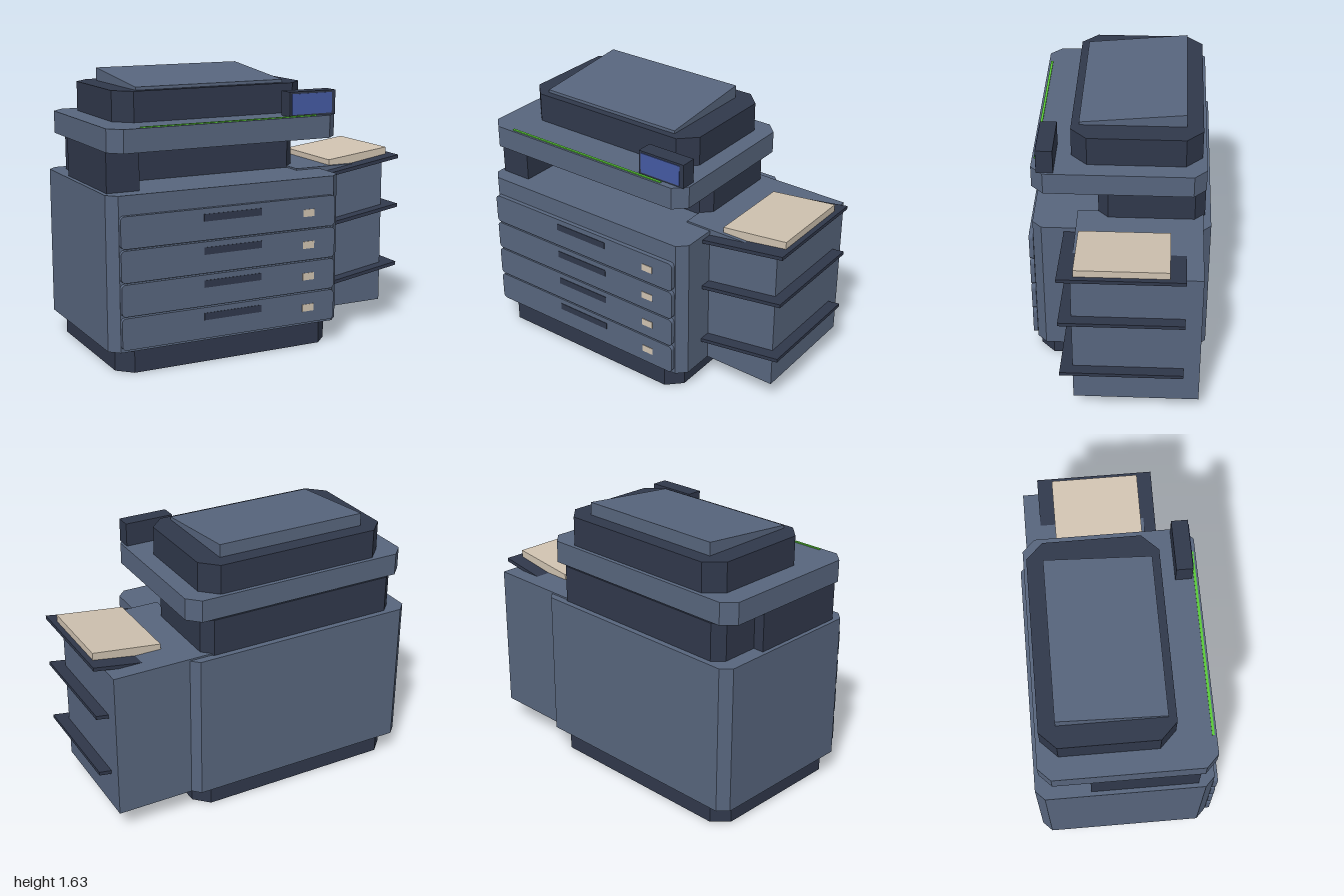
import * as THREE from 'three';

const mat = (name, color) => {
  const m = new THREE.MeshStandardMaterial({ color });
  m.name = name;
  return m;
};

export function createModel() {
  const slate = mat('slate casing', 0x57657d);
  const dark = mat('dark trim', 0x30384b);
  const paper = mat('paper', 0xcfc2b0);
  const blue = mat('screen blue', 0x4459a2);
  const green = mat('scan light green', 0x5acb38);

  const model = new THREE.Group();
  model.name = 'officeCopier';

  const add = (name, geometry, material, parent = model) => {
    const mesh = new THREE.Mesh(geometry, material);
    mesh.name = name;
    parent.add(mesh);
    return mesh;
  };

  // Plain box given by its limits on each axis
  const box = (x0, x1, y0, y1, z0, z1) =>
    new THREE.BoxGeometry(x1 - x0, y1 - y0, z1 - z0)
      .translate((x0 + x1) / 2, (y0 + y1) / 2, (z0 + z1) / 2);

  // Polygon pulled along z
  const prism = (points, z0, z1) =>
    new THREE.ExtrudeGeometry(new THREE.Shape(points.map(([x, y]) => new THREE.Vector2(x, y))),
      { depth: z1 - z0, bevelEnabled: false }).translate(0, 0, z0);

  // Rectangle with cut corners
  const cutRect = (x0, x1, y0, y1, c) => [
    [x0 + c, y0], [x1 - c, y0], [x1, y0 + c], [x1, y1 - c],
    [x1 - c, y1], [x0 + c, y1], [x0, y1 - c], [x0, y0 + c],
  ];

  // Upright block whose four vertical edges are chamfered
  const block = (x0, x1, y0, y1, z0, z1, c) =>
    prism(cutRect(x0, x1, -z1, -z0, c), y0, y1).rotateX(-Math.PI / 2);

  // Plinth and cabinet
  add('plinth', block(-0.945, 0.415, 0, 0.13, -0.485, 0.49, 0.085), dark);
  add('cabinet', block(-1, 0.47, 0.13, 1.015, -0.53, 0.5, 0.055), slate);

  // Four paper drawers with handle and label
  for (let i = 0; i < 4; i++) {
    const y = 0.15 + i * 0.191;
    const drawer = new THREE.Group();
    drawer.name = `drawer${i + 1}`;
    model.add(drawer);
    const r = 0.025, x0 = -0.945, x1 = 0.41, y1 = y + 0.182;
    const face = new THREE.Shape();
    face.absarc(x1 - r, y + r, r, -Math.PI / 2, 0);
    face.absarc(x1 - r, y1 - r, r, 0, Math.PI / 2);
    face.absarc(x0 + r, y1 - r, r, Math.PI / 2, Math.PI);
    face.absarc(x0 + r, y + r, r, Math.PI, Math.PI * 1.5);
    add('drawerFront', new THREE.ExtrudeGeometry(face,
      { depth: 0.026, bevelEnabled: false, curveSegments: 4 }).translate(0, 0, 0.502), slate, drawer);
    add('drawerHandle', box(-0.445, -0.08, y + 0.108, y + 0.15, 0.527, 0.531), dark, drawer);
    add('drawerLabel', box(0.195, 0.27, y + 0.07, y + 0.113, 0.527, 0.531), paper, drawer);
  }

  // Sorter box with sloping output shelves
  add('sorter', box(0.31, 0.925, 0.13, 1.025, -0.485, 0.245), slate);
  [0.385, 0.76, 1.07].forEach((top, i) => {
    const low = top - 0.083;
    add(`outputShelf${i + 1}`, prism(
      [[0.465, low - 0.022], [1, top - 0.022], [1, top], [0.465, low]], -0.39, 0.315), dark);
  });
  add('paperStack', prism(
    [[0.55, 0.995], [0.965, 1.06], [0.965, 1.108], [0.55, 1.058]], -0.3, 0.225), paper);

  // Supports around the open output gap
  add('rearNeck', block(-0.91, 0.37, 1.01, 1.237, -0.495, 0.125, 0.06), dark);
  add('leftSupport', box(-0.975, -0.78, 1.01, 1.245, -0.21, 0.405), dark);

  // Scanner deck, document feeder and sloping tray
  add('scannerDeck', block(-0.98, 0.455, 1.243, 1.375, -0.495, 0.5, 0.072), slate);
  add('documentFeeder', block(-0.85, 0.35, 1.375, 1.55, -0.47, 0.28, 0.095), dark);
  add('feederTray', prism(
    [[-0.235, 1.545], [0.375, 1.545], [0.375, 1.627], [-0.235, 1.568]], -0.725, 0.21)
    .rotateY(Math.PI / 2), slate);
  add('scanLight', box(-0.8, 0.3, 1.374, 1.381, 0.474, 0.488), green);

  // Control panel
  add('controlPanel', box(0.135, 0.44, 1.375, 1.518, 0.367, 0.463), dark);
  add('screen', box(0.15, 0.415, 1.386, 1.506, 0.462, 0.467), blue);

  return model;
}
